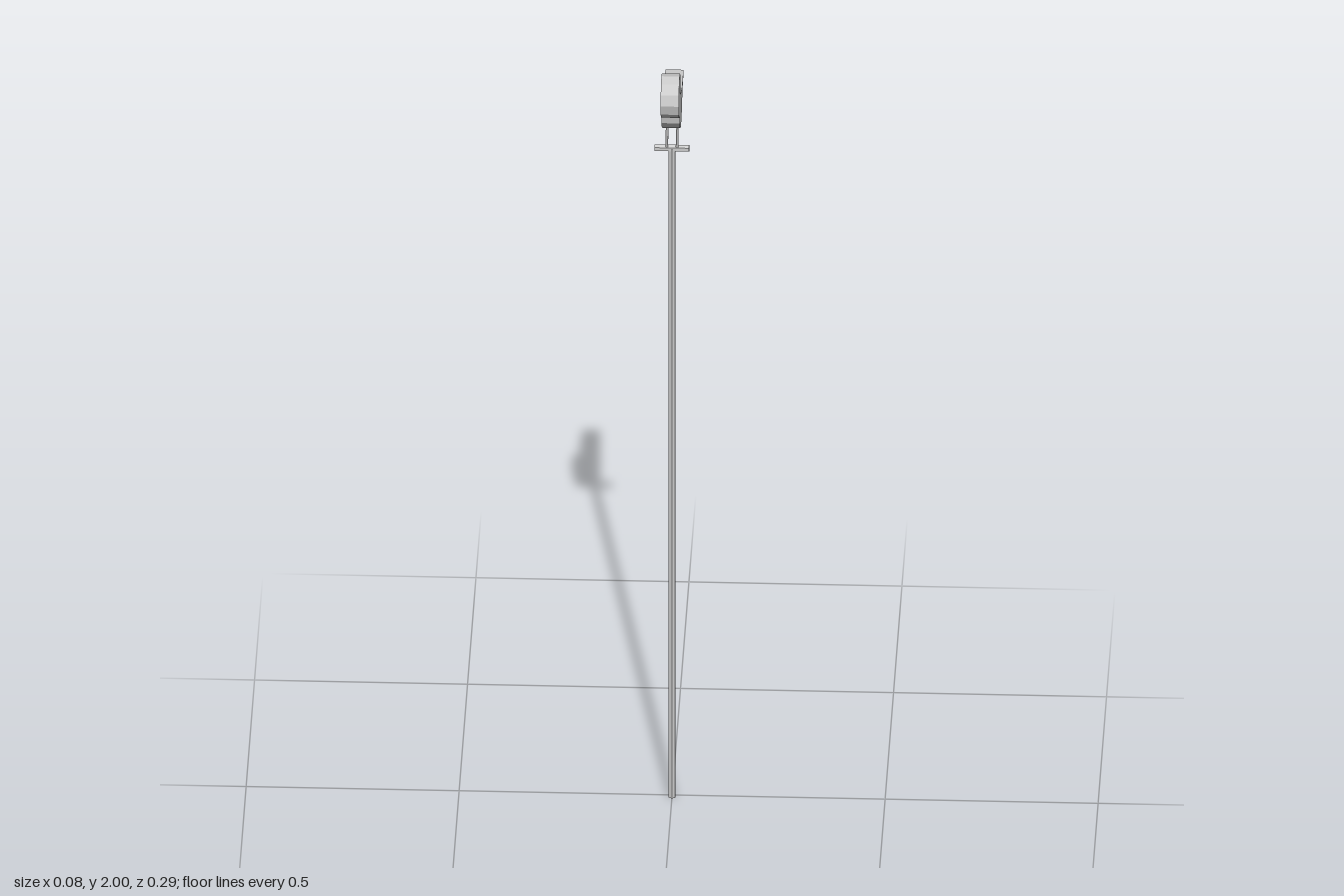
import * as THREE from 'three';

const material = new THREE.MeshStandardMaterial({ color: 0xcccccc, flatShading: true });

function addMesh(group, name, geometry) {
  const mesh = new THREE.Mesh(geometry, material);
  mesh.name = name;
  group.add(mesh);
  return mesh;
}

// Straight rod between two points
function addRod(group, name, from, to, radius, sides) {
  const a = new THREE.Vector3(...from), b = new THREE.Vector3(...to);
  const dir = b.clone().sub(a);
  const rod = addMesh(group, name, new THREE.CylinderGeometry(radius, radius, dir.length(), sides));
  rod.position.copy(a).add(b).multiplyScalar(0.5);
  rod.quaternion.setFromUnitVectors(new THREE.Vector3(0, 1, 0), dir.normalize());
  return rod;
}

export function createModel() {
  const model = new THREE.Group();
  model.name = 'birdOnPole';
  const axisZ = 0.008;

  // Hexagonal pole
  addRod(model, 'pole', [0, 0, axisZ], [0, 1.757, axisZ], 0.009, 6);

  // Hexagonal perch bar, edge upwards
  const bar = new THREE.CylinderGeometry(0.009, 0.009, 0.081, 6);
  bar.rotateY(Math.PI / 2).rotateZ(Math.PI / 2);
  addMesh(model, 'perch', bar).position.set(0, 1.757, axisZ);

  // Bird silhouette in (z, y): twelve-sided head, then back, tail and belly
  const outline = [];
  for (let i = 0; i <= 10; i++) {
    const a = -Math.PI / 2 + (i * Math.PI) / 6;
    outline.push(new THREE.Vector2(0.093 + 0.052 * Math.cos(a), 1.948 + 0.052 * Math.sin(a)));
  }
  const bodyPoints = [
    [0.036, 1.919], [0.003, 1.905], [-0.058, 1.883], [-0.1, 1.883], [-0.145, 1.881],
    [-0.145, 1.879], [-0.07, 1.87], [-0.042, 1.843], [-0.02, 1.829], [0.013, 1.823],
    [0.04, 1.83], [0.068, 1.846], [0.088, 1.87],
  ];
  bodyPoints.forEach(([z, y]) => outline.push(new THREE.Vector2(z, y)));
  const body = new THREE.ExtrudeGeometry(new THREE.Shape(outline), { depth: 0.043, bevelEnabled: false });
  body.translate(0, 0, -0.0215).rotateY(-Math.PI / 2);
  addMesh(model, 'birdBody', body);

  // Bent legs
  for (const [side, name] of [[1, 'leftLeg'], [-1, 'rightLeg']]) {
    const leg = new THREE.Group();
    leg.name = name;
    const x = side * 0.012;
    addRod(leg, 'thigh', [x, 1.83, 0.001], [x, 1.806, -0.006], 0.0035, 6);
    addRod(leg, 'shin', [x, 1.807, -0.006], [x, 1.76, 0.013], 0.0035, 6);
    model.add(leg);
  }
  return model;
}
